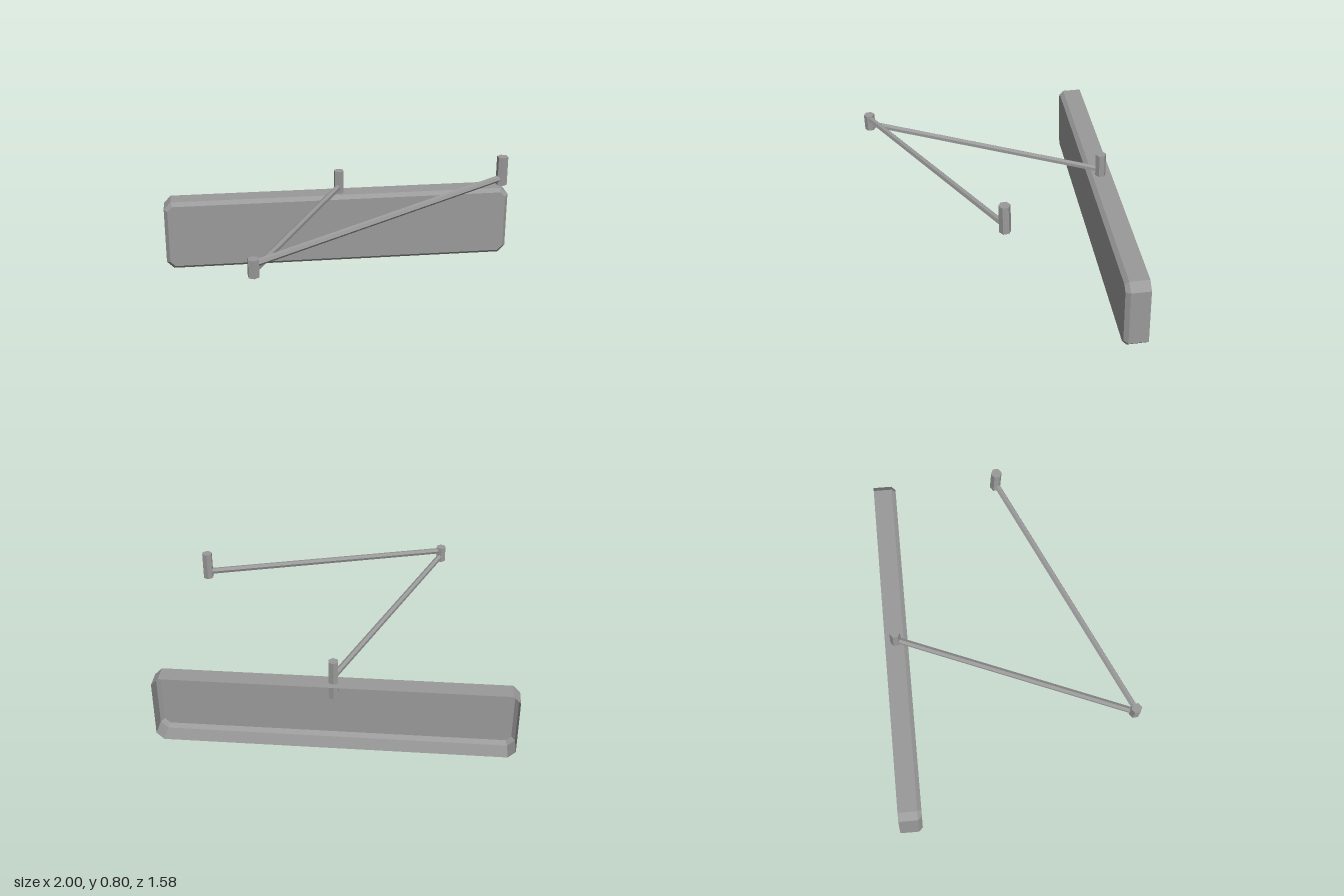
import * as THREE from 'three';

const grey = new THREE.MeshStandardMaterial({ color: 0x9a9a9a, flatShading: true });
const thin = new THREE.MeshStandardMaterial({ color: 0x9a9a9a, flatShading: true, side: THREE.DoubleSide });

// Rectangle with cut corners, counter-clockwise seen from +z
function ring(hw, hh, c, z) {
  return [
    [hw, -hh + c], [hw, hh - c], [hw - c, hh], [-hw + c, hh],
    [-hw, hh - c], [-hw, -hh + c], [-hw + c, -hh], [hw - c, -hh],
  ].map(([x, y]) => [x, y, z]);
}

// Open-backed shell: straight walls, a bevel, then the flat front
function shellGeometry() {
  const rings = [
    ring(0.977, 0.2, 0.04, 0),
    ring(0.977, 0.2, 0.04, 0.103),
    ring(0.957, 0.18, 0.028, 0.125),
  ];
  const pos = [];
  for (let r = 0; r < 2; r++) {
    for (let i = 0; i < 8; i++) {
      const j = (i + 1) % 8;
      const [a, b, c, d] = [rings[r][i], rings[r][j], rings[r + 1][j], rings[r + 1][i]];
      pos.push(...a, ...b, ...c, ...a, ...c, ...d);
    }
  }
  const front = rings[2];
  for (let i = 1; i < 7; i++) pos.push(...front[0], ...front[i], ...front[i + 1]);
  const g = new THREE.BufferGeometry();
  g.setAttribute('position', new THREE.Float32BufferAttribute(pos, 3));
  g.computeVertexNormals();
  return g;
}

// Upright hexagonal pin from y0 to y1
function pin(name, x, z, y0, y1) {
  const g = new THREE.CylinderGeometry(0.029, 0.029, y1 - y0, 6);
  g.rotateY(Math.PI / 6);
  const m = new THREE.Mesh(g, grey);
  m.position.set(x, (y0 + y1) / 2, z);
  m.name = name;
  return m;
}

// Slim hexagonal rod between two points
function rod(name, from, to) {
  const a = new THREE.Vector3(...from), b = new THREE.Vector3(...to);
  const dir = b.clone().sub(a);
  const m = new THREE.Mesh(new THREE.CylinderGeometry(0.017, 0.017, dir.length(), 6), grey);
  m.position.copy(a).add(b).multiplyScalar(0.5);
  m.quaternion.setFromUnitVectors(new THREE.Vector3(0, 1, 0), dir.normalize());
  m.name = name;
  return m;
}

export function createModel() {
  const model = new THREE.Group();
  model.name = 'panelOnFoldingArm';

  const panel = new THREE.Mesh(shellGeometry(), thin);
  panel.name = 'panelShell';
  panel.rotation.y = -THREE.MathUtils.degToRad(35);
  panel.position.set(0.2, 0.2, -0.231);
  model.add(panel);

  // Pivot pins
  model.add(
    pin('panelPin', 0.172, -0.179, 0.302, 0.53),
    pin('elbowPin', -0.971, 0.511, 0.49, 0.58),
    pin('mountPin', 0.448, 0.764, 0.65, 0.8),
  );

  // Folding arm
  model.add(
    rod('lowerArm', [-0.971, 0.52, 0.511], [0.172, 0.433, -0.179]),
    rod('upperArm', [-0.971, 0.554, 0.511], [0.448, 0.686, 0.764]),
  );
  return model;
}
